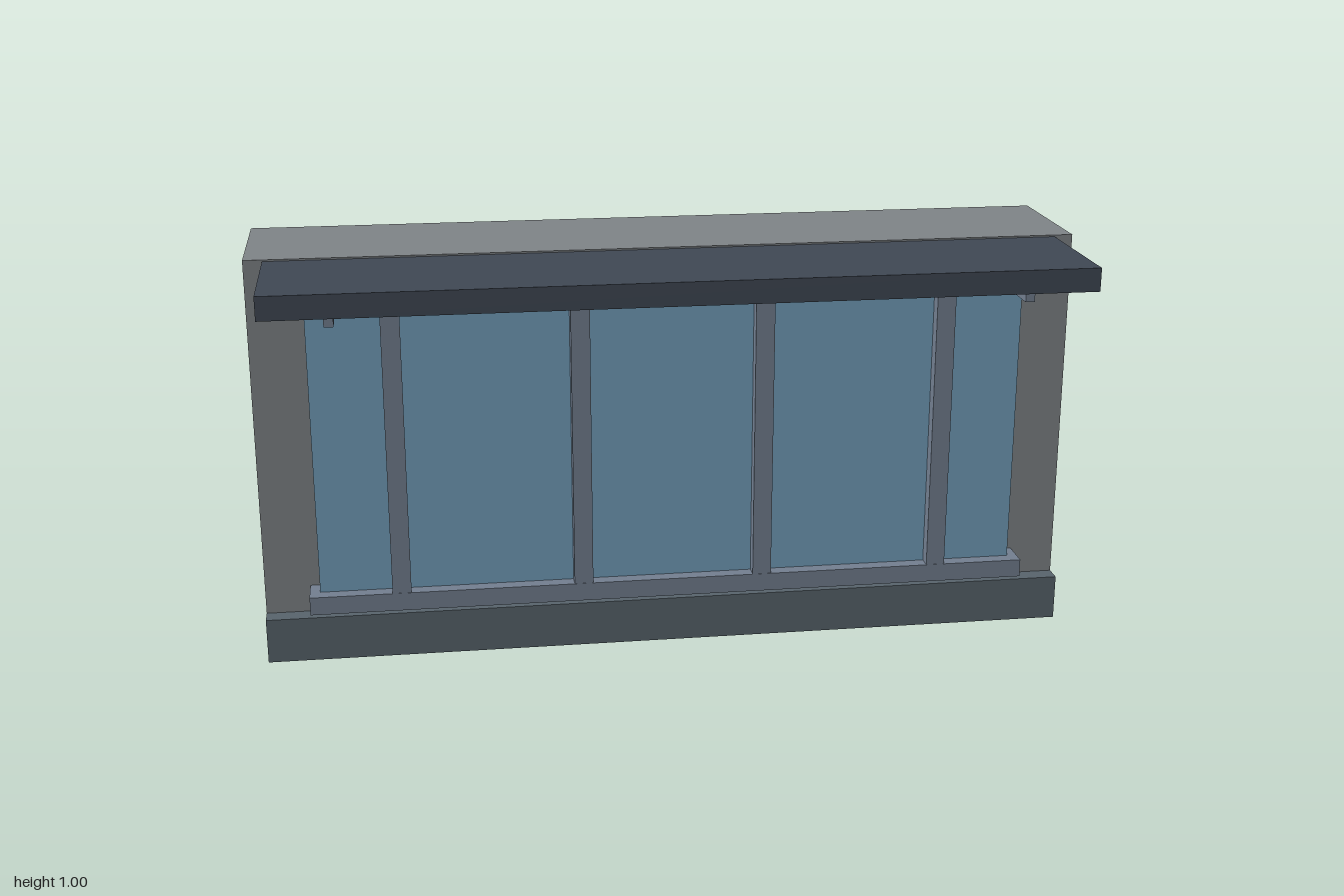
import * as THREE from 'three';

const paint = (color) => new THREE.MeshStandardMaterial({ color });

export function createModel() {
  const model = new THREE.Group();
  const wallGrey = paint(0x808588);
  const plinthGrey = paint(0x59656d);
  const frameGrey = paint(0x748091);
  const glassBlue = paint(0x74a0be);
  const canopyDark = paint(0x404854);

  // Box given by its extents on each axis
  function block(name, material, [x0, x1], [y0, y1], [z0, z1]) {
    const mesh = new THREE.Mesh(new THREE.BoxGeometry(x1 - x0, y1 - y0, z1 - z0), material);
    mesh.position.set((x0 + x1) / 2, (y0 + y1) / 2, (z0 + z1) / 2);
    mesh.name = name;
    model.add(mesh);
  }
  const across = (centre, width) => [centre - width / 2, centre + width / 2];

  // Wall body and the plinth along its foot
  block('wall', wallGrey, [-1, 1], [0, 1], [-0.345, 0.01]);
  block('plinth', plinthGrey, [-1, 1], [0, 0.112], [0.01, 0.055]);

  // Shop window: glass, horizontal rails and mullions
  block('glass', glassBlue, [-0.865, 0.865], [0.16, 0.9], [0, 0.058]);
  block('bottomRail', frameGrey, [-0.89, 0.89], [0.135, 0.18], [0, 0.092]);
  block('topRail', frameGrey, [-0.89, 0.89], [0.88, 0.926], [0, 0.092]);
  for (let i = 0; i < 4; i++) {
    block('mullion', frameGrey, across((i - 1.5) * 0.445, 0.046), [0.18, 0.88], [0, 0.091]);
  }

  // Canopy on two slim brackets
  block('canopy', canopyDark, [-0.955, 0.955], [0.94, 0.996], [0.005, 0.345]);
  for (const side of [-1, 1]) {
    block('canopyBracket', frameGrey, across(side * 0.8, 0.022), [0.913, 0.941], [0.022, 0.313]);
  }

  return model;
}
